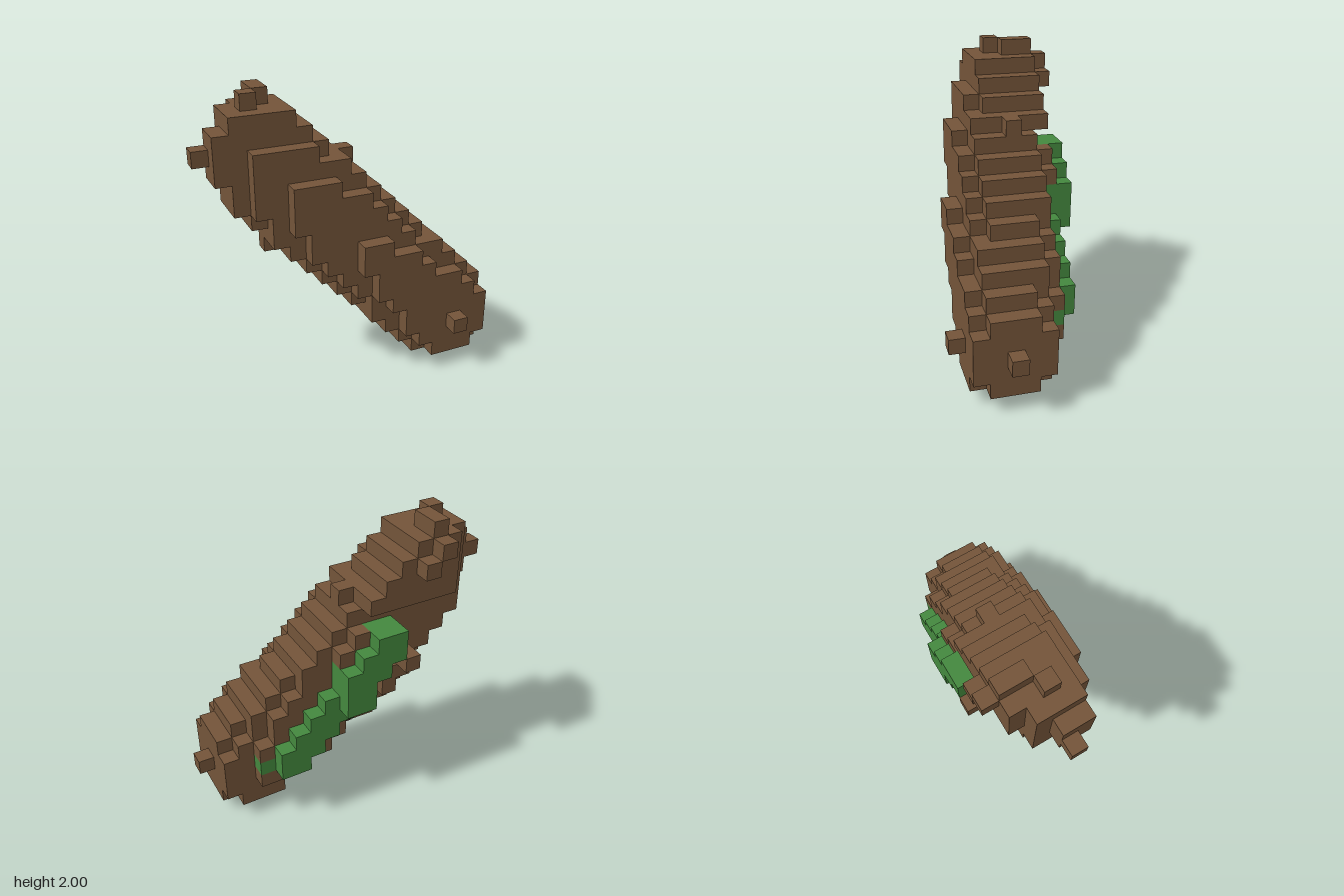
import * as THREE from 'three';
import { mergeGeometries } from 'three/addons/utils/BufferGeometryUtils.js';

const NX = 19, NY = 19, NZ = 9, V = 2 / 19;
const SLOPE = 4 / 17; // how far the log leans back per diagonal step

// Limits of the log: columns per row, depth per row, columns per depth layer
const ROW_MIN = [15, 13, 12, 11, 10, 9, 8, 7, 6, 4, 4, 3, 2, 2, 1, 0, 1, 2, 3];
const ROW_MAX = [15, 17, 17, 18, 17, 17, 16, 15, 14, 13, 12, 11, 10, 9, 9, 7, 6, 5, 4];
const BACK = [5, 3, 3, 2, 1, 1, 1, 1, 0, 0, 0, 0, 0, 2, 1, 1, 0, 0, 1];
const FRONT = [5, 7, 7, 8, 7, 7, 7, 7, 7, 7, 6, 6, 6, 6, 5, 5, 4, 4, 3];
const LAYER_MIN = [4, 3, 2, 0, 1, 3, 5, 9, 15];
const LAYER_MAX = [10, 14, 15, 17, 17, 18, 17, 17, 15];

// Lower corners of the 2 x 2 x 2 moss clumps climbing the back
const MOSS = [
  [13, 4, 1], [12, 5, 1], [11, 6, 1], [10, 7, 1],
  [9, 8, 0], [9, 9, 0], [8, 10, 0], [7, 11, 0],
];

// Single bark knobs on the back
const KNOBS = [[4, 17], [5, 16], [6, 10]];

// Inside a leaning rounded log that swells slightly in the middle
function insideLog(i, j, k) {
  const x = i - 15, y = j - 3, z = k - 5;
  const t = Math.min(17, Math.max(0, (-x + y - SLOPE * z) / (2 + SLOPE * SLOPE)));
  const r = 3 + 0.541 * (1 - ((t - 8.5) / 8.5) ** 2);
  return Math.hypot(x + t, y - t, z + SLOPE * t) <= r + 1e-6;
}

// Moss clumps, with a small foot beside the lowest one
function isMoss(i, j, k) {
  const inClump = ([a, b, c]) => i >= a && i <= a + 1 && j >= b && j <= b + 1 && k >= c && k <= c + 1;
  return MOSS.some(inClump) || (i === 15 && j === 4 && k === 2);
}

// Bark on the second layer from the back: solid upper end, and two flanks beside the trench
function hasBackBark(i, j) {
  if (j >= 14) return true;
  const d = (j - i + 12) / 2, side = i + j - 18;
  return d >= 6.5 && j !== 13 && i > 5 && (side < -1 || side > 2);
}

// 0 = empty, 1 = bark, 2 = moss
function cell(i, j, k) {
  if (i < 0 || j < 0 || k < 0 || i >= NX || j >= NY || k >= NZ) return 0;
  if (i < ROW_MIN[j] || i > ROW_MAX[j] || k < BACK[j] || k > FRONT[j]) return 0;
  if (i < LAYER_MIN[k] || i > LAYER_MAX[k]) return 0;
  if (isMoss(i, j, k)) return 2;
  if (k === 0) return KNOBS.some(([a, b]) => a === i && b === j) ? 1 : 0;
  if (k === 1 && !hasBackBark(i, j)) return 0;
  // broken tip: only a ragged edge remains in the top row
  if (j === 18 && (i === 3) !== (k === 3)) return 0;
  if ((j - i + 12) / 2 > 13.5) return 0;
  return insideLog(i, j, k) ? 1 : 0;
}

// One square face template per direction
const SIDES = [
  [1, 0, 0], [-1, 0, 0], [0, 1, 0], [0, -1, 0], [0, 0, 1], [0, 0, -1],
].map((n) => {
  const face = new THREE.PlaneGeometry(V, V).translate(0, 0, V / 2);
  if (n[0]) face.rotateY(n[0] * Math.PI / 2);
  else if (n[1]) face.rotateX(-n[1] * Math.PI / 2);
  else if (n[2] < 0) face.rotateY(Math.PI);
  return { n, face };
});

// Exposed faces of all blocks of one kind
function blocks(kind) {
  const faces = [];
  for (let i = 0; i < NX; i++)
    for (let j = 0; j < NY; j++)
      for (let k = 0; k < NZ; k++) {
        if (cell(i, j, k) !== kind) continue;
        for (const { n, face } of SIDES) {
          if (cell(i + n[0], j + n[1], k + n[2])) continue;
          faces.push(face.clone().translate((i - 9) * V, (j + 0.5) * V, (k - 4) * V));
        }
      }
  return mergeGeometries(faces);
}

export function createModel() {
  const group = new THREE.Group();
  group.name = 'mossyLog';
  const parts = [['barkBlocks', 1, 'bark brown', 0x735439], ['mossStrip', 2, 'moss green', 0x44883e]];
  for (const [name, kind, colorName, color] of parts) {
    const material = new THREE.MeshStandardMaterial({ color });
    material.name = colorName;
    const mesh = new THREE.Mesh(blocks(kind), material);
    mesh.name = name;
    group.add(mesh);
  }
  return group;
}
